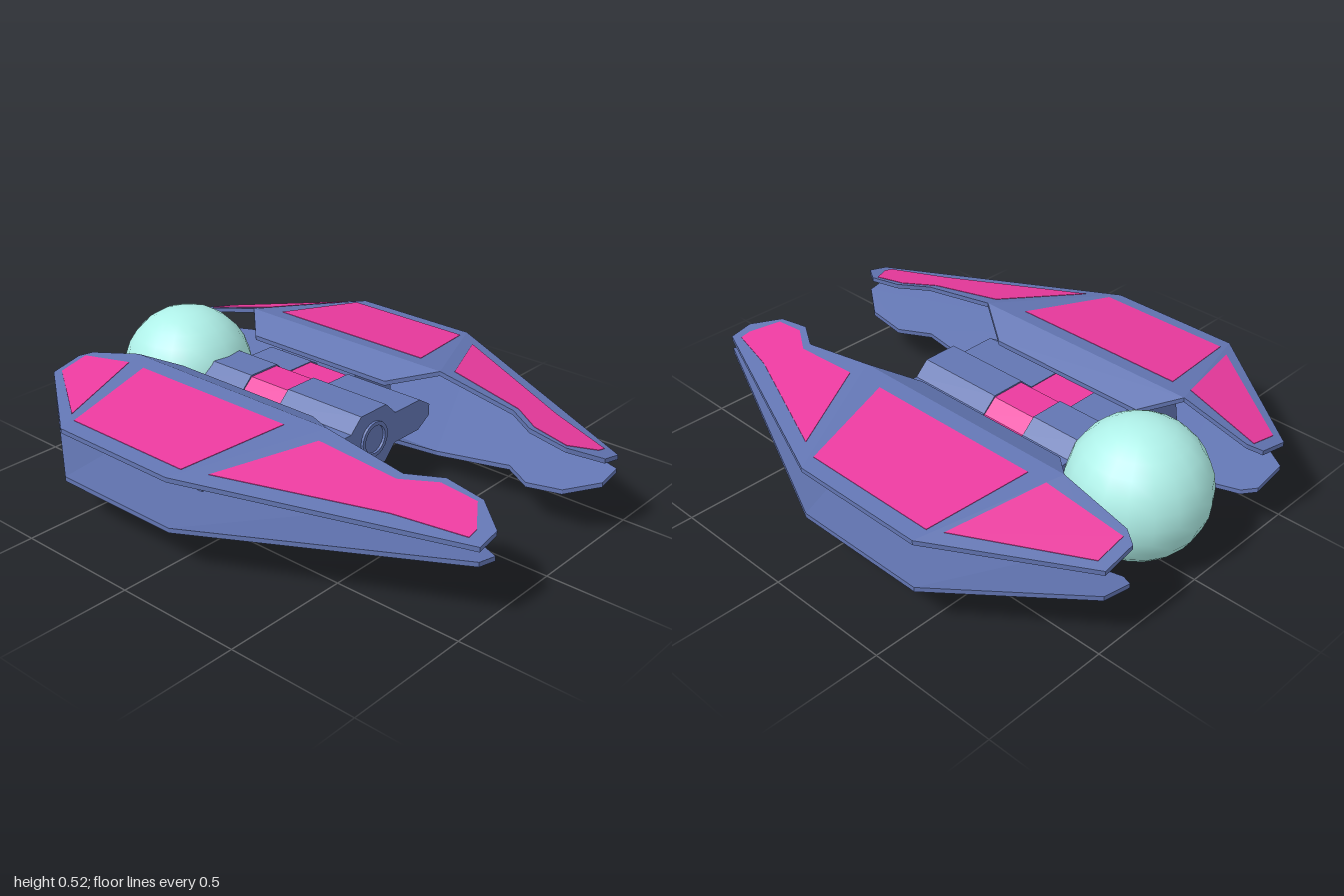
import * as THREE from 'three';

const material = (color) => new THREE.MeshStandardMaterial({ color, flatShading: true });

// Height of the folded upper wing skin: the lowest of four planes
const wingHeight = (x, z) => Math.min(
  0.44 - 0.136 * (z - 0.315),
  0.44 - 0.167 * (x - 0.29) - 0.217 * (z - 0.315),
  0.44 + 0.247 * (x + 0.67) - 0.2175 * (z - 0.315),
  0.44 - 0.45 * (0.315 - z)
);

// A flat [x, z] outline, thickened and draped on the wing planes
function skin(points, thickness, lift = 0) {
  const shape = new THREE.Shape(points.map(([x, z]) => new THREE.Vector2(x, -z)));
  const geo = new THREE.ExtrudeGeometry(shape, { depth: thickness, bevelEnabled: false });
  geo.rotateX(-Math.PI / 2);
  const p = geo.attributes.position;
  for (let i = 0; i < p.count; i++) {
    p.setY(i, p.getY(i) - thickness + lift + wingHeight(p.getX(i), p.getZ(i)));
  }
  geo.computeVertexNormals();
  return geo;
}

// A [z, y] section swept along x between two positions
function sweep(points, x0, x1) {
  const shape = new THREE.Shape(points.map(([z, y]) => new THREE.Vector2(-z, y)));
  const geo = new THREE.ExtrudeGeometry(shape, { depth: x1 - x0, bevelEnabled: false });
  return geo.rotateY(Math.PI / 2).translate(x0, 0, 0);
}

// Completes a half section by mirroring it in z
const mirrored = (half) => [...half, ...half.slice().reverse().map(([z, y]) => [-z, y])];

const facets = {
  wingCentre: [[-0.67, 0.315], [-0.5, 0.83], [0.04, 0.83], [0.29, 0.315]],
  wingTail: [[-0.67, 0.315], [-0.94, 0.32], [-0.99, 0.35], [-0.99, 0.48], [-0.5, 0.83]],
  wingNose: [[0.29, 0.315], [0.04, 0.83], [1, 0.41], [1, 0.32], [0.89, 0.24], [0.74, 0.24], [0.62, 0.315]],
  wingRoot: [[-0.67, 0.315], [0.29, 0.315], [0.12, 0.2], [-0.55, 0.2]],
};
const panels = {
  centrePanel: [[-0.5, 0.77], [0.05, 0.77], [0.15, 0.38], [-0.57, 0.38]],
  tailPanel: [[-0.95, 0.47], [-0.95, 0.35], [-0.65, 0.38], [-0.55, 0.74]],
  nosePanel: [[0.14, 0.73], [0.31, 0.38], [0.62, 0.35], [0.74, 0.27], [0.88, 0.26], [0.95, 0.36], [0.95, 0.4], [0.7, 0.48]],
};

export function createModel() {
  const model = new THREE.Group();
  const blue = material(0x6275b2);
  const pink = material(0xea3a9e);
  const pale = new THREE.MeshStandardMaterial({ color: 0xaff0e8 });

  const add = (parent, name, geo, mat) => {
    const mesh = new THREE.Mesh(geo, mat);
    mesh.name = name;
    parent.add(mesh);
    return mesh;
  };

  // Sphere at the tail end
  add(model, 'sphere', new THREE.SphereGeometry(0.26, 18, 14), pale).position.set(-0.735, 0.26, 0);

  // Body in two lengths, with a slightly sunken coloured band between them
  const body = mirrored([
    [0.07, 0.375], [0.125, 0.323], [0.27, 0.323], [0.33, 0.285],
    [0.33, 0.24], [0.265, 0.2], [0.125, 0.2], [0.07, 0.142],
  ]);
  const band = body.map(([z, y]) => [z * 0.98, 0.26 + (y - 0.26) * 0.95]);
  add(model, 'bodyTail', sweep(body, -0.53, -0.31), blue);
  add(model, 'bodyNose', sweep(body, -0.12, 0.235), blue);
  add(model, 'bodyBand', sweep(band, -0.31, -0.12), pink);

  // Round port on the end of the body
  const ring = add(model, 'portRing', new THREE.LatheGeometry(
    [[0.055, 0], [0.055, 0.015], [0.07, 0.015], [0.07, 0]].map(([r, y]) => new THREE.Vector2(r, y)), 20),
    new THREE.MeshStandardMaterial({ color: 0x6275b2, side: THREE.DoubleSide, flatShading: true }));
  ring.rotation.z = -Math.PI / 2;
  ring.position.set(0.23, 0.262, 0);

  for (const side of [1, -1]) {
    const wing = new THREE.Group();
    wing.name = side > 0 ? 'frontWing' : 'rearWing';
    wing.scale.z = side;
    model.add(wing);

    // Upper wing and its mirrored lower twin
    for (const level of ['upper', 'lower']) {
      const half = new THREE.Group();
      half.name = level + 'Wing';
      if (level === 'lower') {
        half.scale.y = -1;
        half.position.y = 0.53;
      }
      wing.add(half);
      for (const [name, outline] of Object.entries(facets)) add(half, name, skin(outline, 0.018), blue);
      if (level === 'upper') {
        for (const [name, outline] of Object.entries(panels)) add(half, name, skin(outline, 0.006, 0.002), pink);
      }
    }

    // Pylon joining the body to both wing skins
    add(wing, 'pylon', sweep([
      [0.3, 0.285], [0.31, 0.415], [0.535, 0.395], [0.515, 0.287], [0.54, 0.285],
      [0.54, 0.24], [0.515, 0.238], [0.535, 0.135], [0.31, 0.115], [0.3, 0.24],
    ], -0.5, -0.11), blue);

    // Pod under the lower wing with a small coloured muzzle
    add(wing, 'pod', sweep([[0.71, 0.15], [0.67, 0.092], [0.55, 0.092], [0.52, 0.13]], -0.08, 0.06), blue);
    const muzzle = add(wing, 'muzzle', new THREE.CylinderGeometry(0.018, 0.018, 0.02, 10), pink);
    muzzle.rotation.z = Math.PI / 2;
    muzzle.position.set(0.056, 0.117, 0.66);
  }
  return model;
}
